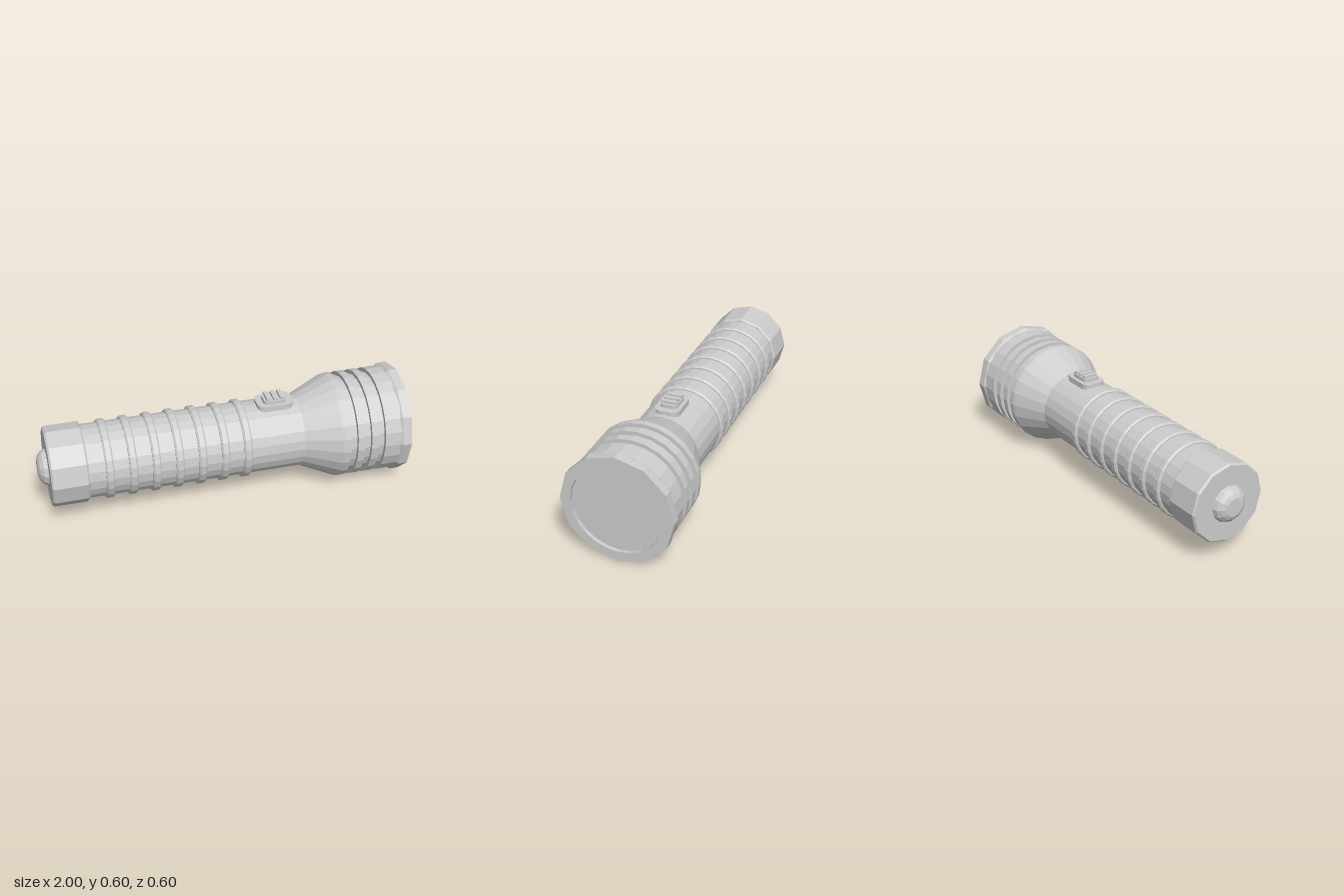
import * as THREE from 'three';

const AXIS = 0.302; // height of the torch's centre line
const grey = new THREE.MeshStandardMaterial({ color: 0xcccccc });
grey.name = 'grey';

// Faceted normals
function facet(geometry) {
  const g = geometry.index ? geometry.toNonIndexed() : geometry;
  g.computeVertexNormals();
  return g;
}

function add(group, name, geometry, x = 0, y = 0, z = 0) {
  const mesh = new THREE.Mesh(facet(geometry), grey);
  mesh.name = name;
  mesh.position.set(x, y, z);
  group.add(mesh);
  return mesh;
}

// Turned part along x, profile given as [x, radius] from tail to front
function turned(group, name, profile, sides) {
  const points = profile.map(([x, r]) => new THREE.Vector2(r, x));
  const geometry = new THREE.LatheGeometry(points, sides).rotateZ(-Math.PI / 2);
  return add(group, name, geometry, 0, AXIS, 0);
}

function ringPoints(radius, sides) {
  return Array.from({ length: sides }, (_, i) => {
    const a = (i / sides) * Math.PI * 2;
    return new THREE.Vector2(Math.cos(a) * radius, Math.sin(a) * radius);
  });
}

// Flat plate with cut corners, lying on y = 0
function cutPlate(w, d, h, c) {
  const x = w / 2, z = d / 2;
  const shape = new THREE.Shape([
    [-x + c, -z], [x - c, -z], [x - c * 0.3, -z + c * 0.3], [x, -z + c],
    [x, z - c], [x - c * 0.3, z - c * 0.3], [x - c, z], [-x + c, z],
    [-x + c * 0.3, z - c * 0.3], [-x, z - c], [-x, -z + c], [-x + c * 0.3, -z + c * 0.3],
  ].map(([a, b]) => new THREE.Vector2(a, b)));
  return new THREE.ExtrudeGeometry(shape, { depth: h, bevelEnabled: false }).rotateX(-Math.PI / 2);
}

export function createModel() {
  const torch = new THREE.Group();
  torch.name = 'torch';

  // Handle tube
  turned(torch, 'handle', [[-0.76, 0.2], [0.425, 0.2]], 24);

  // Flared head with three grooves
  const head = [[0.425, 0.2], [0.61, 0.284], [0.625, 0.289]];
  for (const x of [0.657, 0.735, 0.813]) {
    head.push([x, 0.289], [x, 0.268], [x + 0.038, 0.268], [x + 0.038, 0.289]);
  }
  head.push([0.945, 0.289]);
  turned(torch, 'head', head, 24);

  // Twelve-sided bezel with a round opening
  turned(torch, 'bezelChamfer', [[0.937, 0.27], [0.937, 0.29], [0.952, 0.302]], 12);
  const rim = new THREE.Shape(ringPoints(0.302, 12));
  rim.holes.push(new THREE.Path(ringPoints(0.245, 24).reverse()));
  const bezel = new THREE.ExtrudeGeometry(rim, { depth: 0.048, bevelEnabled: false });
  add(torch, 'bezel', bezel.rotateY(Math.PI / 2), 0.952, AXIS, 0);

  // Recessed lens
  add(torch, 'lens', new THREE.CircleGeometry(0.246, 24).rotateY(Math.PI / 2), 0.98, AXIS, 0);

  // Grip rings
  for (let i = 0; i < 7; i++) {
    const x = -0.642 + i * 0.1245;
    turned(torch, 'gripRing', [
      [x - 0.022, 0.198], [x - 0.022, 0.207], [x - 0.013, 0.215],
      [x + 0.013, 0.215], [x + 0.022, 0.207], [x + 0.022, 0.198],
    ], 24);
  }

  // Tail cap and push button
  turned(torch, 'tailCap', [
    [-0.95, 0], [-0.95, 0.208], [-0.94, 0.217], [-0.762, 0.217], [-0.752, 0.208], [-0.752, 0.19],
  ], 12);
  turned(torch, 'tailButton', [
    [-1, 0], [-1, 0.05], [-0.99, 0.071], [-0.972, 0.091], [-0.948, 0.1],
  ], 12);

  // Thumb switch
  const thumbSwitch = new THREE.Group();
  thumbSwitch.name = 'thumbSwitch';
  thumbSwitch.position.set(0.298, AXIS, 0);
  add(thumbSwitch, 'switchBase', cutPlate(0.2, 0.135, 0.04, 0.035), 0, 0.178, 0);
  add(thumbSwitch, 'slider', cutPlate(0.126, 0.094, 0.025, 0.02), 0, 0.212, 0);
  for (const x of [-0.038, 0, 0.038]) {
    add(thumbSwitch, 'sliderRidge', new THREE.BoxGeometry(0.022, 0.02, 0.084), x, 0.24, 0);
  }
  torch.add(thumbSwitch);

  return torch;
}
